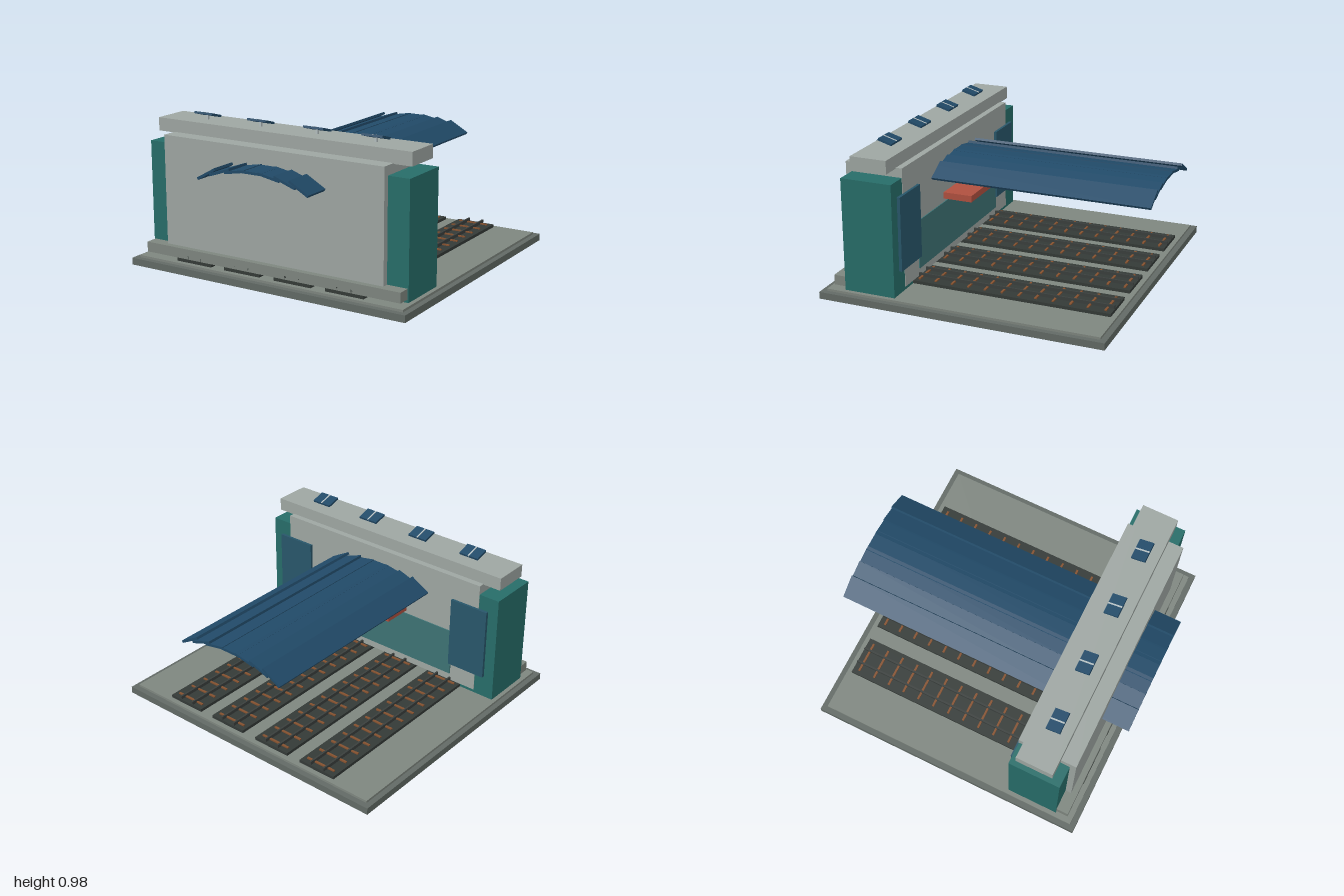
import * as THREE from 'three';

const mat = (color) => new THREE.MeshStandardMaterial({ color, flatShading: true });
const MAT = {
  base: mat(0x626a65), paving: mat(0x7e867f), wall: mat(0x9ea6a2), teal: mat(0x276d69),
  door: mat(0x28566a), glass: mat(0x3d7274), roof: mat(0x214a68), bed: mat(0x343a37),
  rail: mat(0x3a3f3d), sleeper: mat(0x84512f), red: mat(0xb0503f), metal: mat(0xb4bec0),
};

export function createModel() {
  const model = new THREE.Group();

  // Box given by its min and max along each axis
  const box = (name, material, [x0, x1], [y0, y1], [z0, z1], parent = model) => {
    const mesh = new THREE.Mesh(new THREE.BoxGeometry(x1 - x0, y1 - y0, z1 - z0), material);
    mesh.position.set((x0 + x1) / 2, (y0 + y1) / 2, (z0 + z1) / 2);
    mesh.name = name;
    parent.add(mesh);
    return mesh;
  };

  // Ground slabs
  box('base', MAT.base, [-0.995, 0.995], [0, 0.045], [-0.932, 0.932]);
  box('paving', MAT.paving, [-0.96, 0.96], [0.045, 0.06], [-0.895, 0.895]);

  // Station hall
  box('hallWall', MAT.wall, [-0.79, 0.79], [0.08, 0.85], [0.437, 0.82]);
  box('plinth', MAT.paving, [-0.925, 0.925], [0.08, 0.145], [0.76, 0.86]);
  box('coping', MAT.wall, [-0.912, 0.912], [0.845, 0.93], [0.478, 0.72]);
  box('rearWindow', MAT.glass, [-0.6, 0.6], [0.13, 0.45], [0.43, 0.44]);
  box('rearBeam', MAT.red, [-0.23, 0.23], [0.472, 0.515], [0.24, 0.44]);
  for (const s of [-1, 1]) {
    const span = (a, b) => (s > 0 ? [a, b] : [-b, -a]);
    box('endPillar', MAT.teal, span(0.68, 0.932), [0.06, 0.79], [0.44, 0.78]);
    box('rearDoor', MAT.door, span(0.59, 0.86), [0.21, 0.69], [0.42, 0.442]);
  }

  // Tracks: ballast bed, sleepers and two rails each
  for (const x of [-0.55, -0.185, 0.185, 0.55]) {
    const track = new THREE.Group();
    track.name = 'track';
    track.position.x = x;
    model.add(track);
    box('trackBed', MAT.bed, [-0.132, 0.132], [0.06, 0.08], [-0.862, 0.862], track);
    for (let i = 0; i < 15; i++) {
      const z = -0.819 + i * 0.1117;
      box('sleeper', MAT.sleeper, [-0.105, 0.105], [0.078, 0.088], [z - 0.007, z + 0.007], track);
    }
    for (const r of [-0.05, 0.05])
      box('rail', MAT.rail, [r - 0.006, r + 0.006], [0.08, 0.102], [-0.86, 0.86], track);
  }

  // Canopy: overlapping tilted planks forming a shallow vault
  const canopy = new THREE.Group();
  canopy.name = 'canopy';
  model.add(canopy);
  const plank = (x0, y0, x1, y1) => {
    const geo = new THREE.BoxGeometry(Math.hypot(x1 - x0, y1 - y0), 0.016, 2);
    const mesh = new THREE.Mesh(geo, MAT.roof);
    mesh.position.set((x0 + x1) / 2, (y0 + y1) / 2, 0);
    mesh.rotation.z = Math.atan2(y1 - y0, x1 - x0);
    mesh.name = 'canopyPlank';
    canopy.add(mesh);
  };
  plank(-0.075, 0.745, 0.075, 0.745);
  for (const s of [-1, 1]) {
    plank(s * 0.395, 0.66, s * 0.265, 0.733);
    plank(s * 0.305, 0.694, s * 0.16, 0.744);
    plank(s * 0.195, 0.722, s * 0.048, 0.749);
  }

  // Tilted rooftop panels on short posts
  for (const x of [-0.61, -0.205, 0.205, 0.61]) {
    const unit = new THREE.Group();
    unit.name = 'roofPanel';
    unit.position.set(x, 0.963, 0.608);
    model.add(unit);
    box('panelPost', MAT.metal, [-0.007, 0.007], [-0.035, 0], [-0.007, 0.007], unit);
    const tilt = new THREE.Group();
    tilt.rotation.x = -0.28;
    tilt.name = 'panelTilt';
    unit.add(tilt);
    box('panel', MAT.roof, [-0.07, 0.07], [-0.007, 0.007], [-0.048, 0.048], tilt);
    box('panelStrip', MAT.metal, [-0.005, 0.005], [0, 0.009], [-0.048, 0.048], tilt);
  }

  return model;
}
